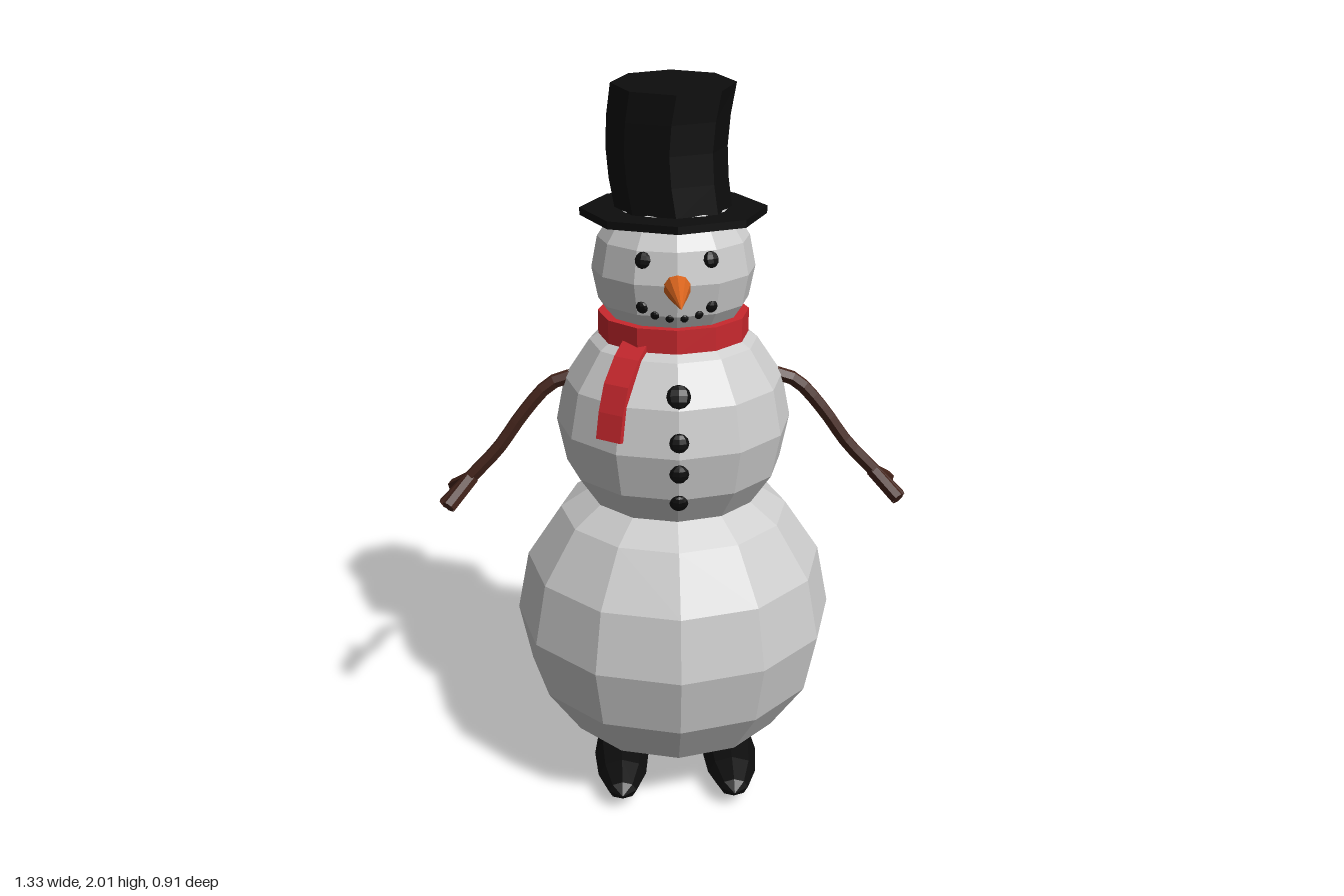
import * as THREE from 'three';

const material = (color) => new THREE.MeshStandardMaterial({ color, flatShading: true });
const snow = material(0xcccccc);
const black = material(0x0d0d0d);
const red = material(0xc9282e);
const wood = material(0x45251c);
const orange = material(0xd8641e);

export function createModel() {
  const model = new THREE.Group();
  model.name = 'snowman';

  const add = (name, geometry, mat, x = 0, y = 0, z = 0, parent = model) => {
    const mesh = new THREE.Mesh(geometry, mat);
    mesh.name = name;
    mesh.position.set(x, y, z);
    parent.add(mesh);
    return mesh;
  };

  // Three stacked snowballs
  const balls = [['lowerBody', 0.455, 0.495], ['upperBody', 0.325, 1.085], ['head', 0.22, 1.515]];
  for (const [name, r, y] of balls) add(name, new THREE.SphereGeometry(r, 12, 8), snow, 0, y);

  // Flattened coal lump facing away from a ball's centre
  const coal = (name, x, y, z, r, centerY) => {
    const mesh = add(name, new THREE.SphereGeometry(r, 8, 6), black, x, y, z);
    mesh.lookAt(2 * x, 2 * y - centerY, 2 * z);
    mesh.scale.z = 0.6;
  };
  for (const s of [-1, 1]) {
    coal('eye', s * 0.087, 1.577, 0.185, 0.022, 1.515);
    coal('mouthCoal', s * 0.09, 1.453, 0.183, 0.017, 1.515);
    coal('mouthCoal', s * 0.057, 1.433, 0.19, 0.012, 1.515);
    coal('mouthCoal', s * 0.019, 1.425, 0.197, 0.011, 1.515);
  }
  const buttons = [[1.245, 0.288, 0.032], [1.13, 0.32, 0.026], [1.045, 0.323, 0.026], [0.955, 0.305, 0.025]];
  for (const [y, z, r] of buttons) coal('button', 0, y, z, r, 1.085);

  // Carrot nose
  const carrot = [[0, 0], [0.037, 0.02], [0.035, 0.05], [0.023, 0.12], [0, 0.25]]
    .map(([r, h]) => new THREE.Vector2(r, h));
  add('nose', new THREE.LatheGeometry(carrot, 10), orange, 0, 1.51, 0.16).rotation.x = Math.PI / 2;

  // Top hat with a slightly crooked crown and a slanted top
  const hat = new THREE.Group();
  hat.name = 'hat';
  model.add(hat);
  add('hatBrim', new THREE.CylinderGeometry(0.248, 0.248, 0.02, 8), black, 0, 1.665, 0, hat);
  const crown = new THREE.CylinderGeometry(0.162, 0.155, 0.33, 8, 4);
  const p = crown.attributes.position;
  for (let i = 0; i < p.count; i++) {
    const t = p.getY(i) / 0.33 + 0.5;
    p.setX(i, p.getX(i) - 0.018 * Math.sin(Math.PI * t));
    p.setY(i, p.getY(i) - t * t * (0.007 + p.getZ(i) * 0.08));
  }
  crown.computeVertexNormals();
  add('hatCrown', crown, black, 0, 1.835, 0, hat);

  // Scarf band and the tail draped over the chest
  add('scarfBand', new THREE.CylinderGeometry(0.205, 0.205, 0.065, 12), red, 0, 1.363);
  const tailPath = [[0.19, 1.355], [0.235, 1.32], [0.285, 1.26], [0.312, 1.19], [0.327, 1.12]];
  const outline = [...tailPath, ...tailPath.map(([r, y]) => [r - 0.03, y - 0.005]).reverse()]
    .map(([r, y]) => new THREE.Vector2(r, y));
  const tail = new THREE.ExtrudeGeometry(new THREE.Shape(outline), { depth: 0.075, bevelEnabled: false });
  tail.translate(0, 0, -0.0375);
  add('scarfTail', tail, red).rotation.y = Math.atan2(-0.83, -0.56);

  // Twig arms with two side fingers each
  const twig = (name, points, r, steps, parent) => {
    const curve = new THREE.CatmullRomCurve3(points.map((q) => new THREE.Vector3(...q)));
    add(name, new THREE.TubeGeometry(curve, steps, r, 6), wood, 0, 0, 0, parent);
    // Caps on both ends
    for (const t of [0, 1]) {
      const cap = add(name + 'End', new THREE.CircleGeometry(r, 6), wood, 0, 0, 0, parent);
      const end = curve.getPoint(t);
      cap.position.copy(end);
      cap.lookAt(end.clone().addScaledVector(curve.getTangent(t), t ? 1 : -1));
    }
  };
  for (const s of [-1, 1]) {
    const arm = new THREE.Group();
    arm.name = s > 0 ? 'leftArm' : 'rightArm';
    model.add(arm);
    twig('branch', [[0.25, 1.215, 0], [0.335, 1.19, 0], [0.415, 1.105, 0], [0.49, 1.0, 0],
      [0.56, 0.925, 0], [0.652, 0.828, 0]].map(([x, y, z]) => [s * x, y, z]), 0.02, 14, arm);
    for (const f of [-1, 1]) {
      twig('finger', [[s * 0.57, 0.91, 0], [s * 0.632, 0.852, f * 0.075]], 0.02, 1, arm);
    }
  }

  // Long oval shoes
  for (const s of [-1, 1]) {
    const shoe = new THREE.SphereGeometry(1, 8, 6);
    shoe.rotateX(Math.PI / 2);
    shoe.scale(0.08, 0.056, 0.217);
    add(s > 0 ? 'leftShoe' : 'rightShoe', shoe, black, s * 0.16, 0.056, 0.117);
  }

  return model;
}
